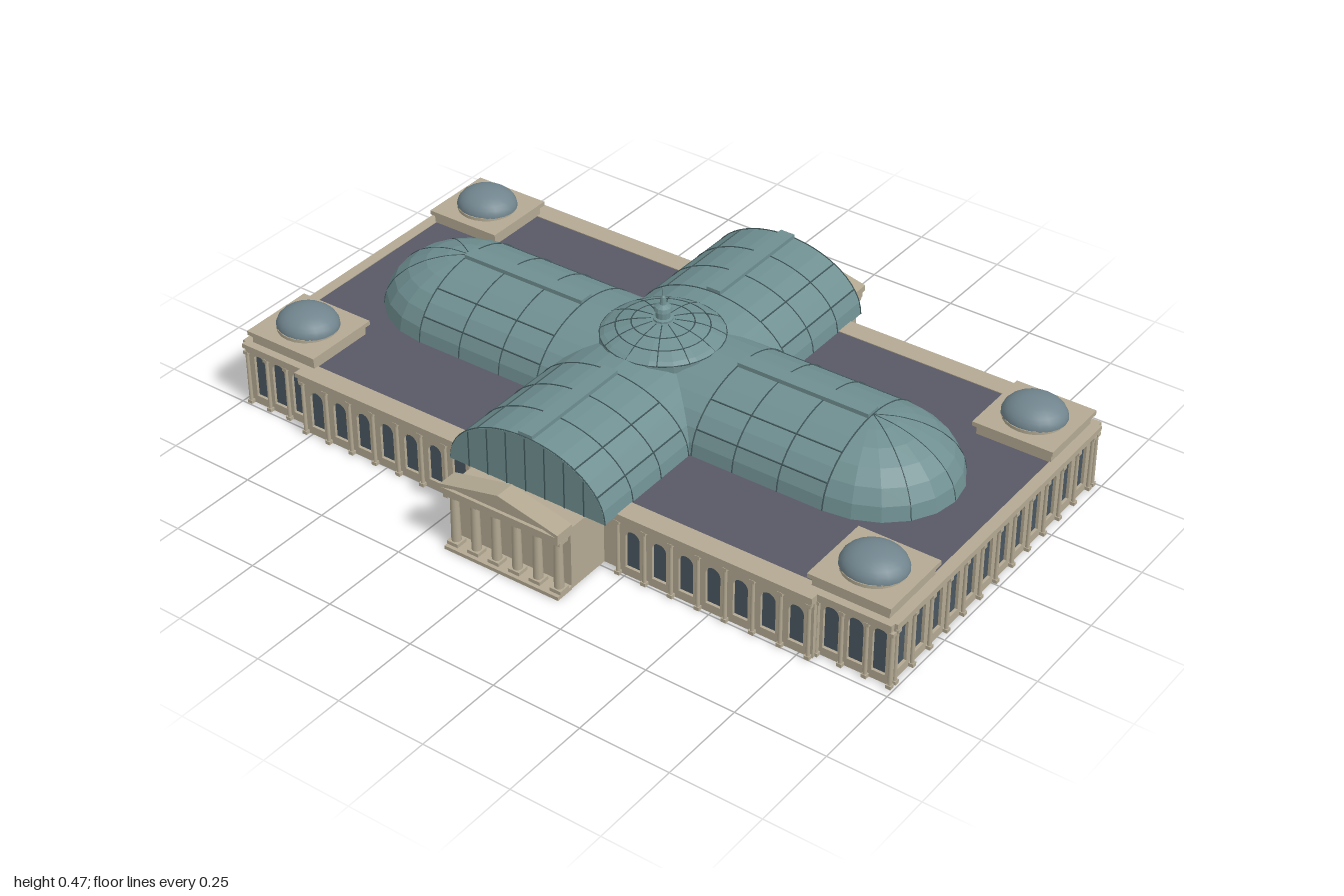
import * as THREE from 'three';

const mat = (color, extra = {}) => new THREE.MeshStandardMaterial({ color, ...extra });
const stone = mat(0xb3a992);
const cellStone = mat(0xb3a992, { side: THREE.DoubleSide });
const slate = mat(0x595866);
const glass = mat(0x4a565f);
const copper = mat(0x6f8f91, { flatShading: true });
const ribMat = mat(0x42585b);
const domeMat = mat(0x71858e);

function add(parent, name, geometry, material, x = 0, y = 0, z = 0) {
  const mesh = new THREE.Mesh(geometry, material);
  mesh.name = name;
  mesh.position.set(x, y, z);
  parent.add(mesh);
  return mesh;
}

// Box given by its ranges
function block(parent, name, material, [x0, x1], [y0, y1], [z0, z1]) {
  return add(parent, name, new THREE.BoxGeometry(x1 - x0, y1 - y0, z1 - z0), material,
    (x0 + x1) / 2, (y0 + y1) / 2, (z0 + z1) / 2);
}

// Thin-walled room, open underneath (the floor face is left out)
function room(parent, name, x, y, z) {
  const geometry = block(parent, name, cellStone, x, y, z).geometry;
  const index = Array.from(geometry.index.array);
  index.splice(18, 6);
  geometry.setIndex(index);
  geometry.clearGroups();
}

function column(parent, x, z, r, y0, y1) {
  add(parent, 'column', new THREE.CylinderGeometry(r * 0.85, r, y1 - y0, 10), stone, x, (y0 + y1) / 2, z);
  block(parent, 'columnBase', stone, [x - r * 1.3, x + r * 1.3], [y0, y0 + 0.01], [z - r * 1.3, z + r * 1.3]);
  block(parent, 'columnCapital', stone, [x - r * 1.3, x + r * 1.3], [y1 - 0.01, y1], [z - r * 1.3, z + r * 1.3]);
}

// Arcade facing +z: pierced wall, glazing, slim columns, cornice with a ledge behind
function arcade(name, length, count, spacing, archTop, ledge) {
  const g = new THREE.Group();
  g.name = name;
  const h = length / 2, w = 0.021;
  const wall = new THREE.Shape();
  wall.moveTo(-h, 0).lineTo(h, 0).lineTo(h, 0.17).lineTo(-h, 0.17).closePath();
  for (let i = 0; i < count; i++) {
    const x = (i - (count - 1) / 2) * spacing;
    const hole = new THREE.Path();
    hole.moveTo(x - w, 0.024).lineTo(x + w, 0.024).lineTo(x + w, archTop - w);
    hole.absarc(x, archTop - w, w, 0, Math.PI, false);
    hole.closePath();
    wall.holes.push(hole);
  }
  add(g, 'arcadeWall', new THREE.ExtrudeGeometry(wall, { depth: 0.012, bevelEnabled: false, curveSegments: 8 }), stone);
  block(g, 'glazing', glass, [-h + 0.01, h - 0.01], [0.02, 0.165], [0.001, 0.004]);
  for (let i = 0; i <= count; i++) column(g, (i - count / 2) * spacing, 0.018, 0.0055, 0, 0.163);
  block(g, 'cornice', stone, [-h, h], [0.162, 0.176], [0, 0.024]);
  block(g, 'upperCornice', stone, [-h - 0.004, h + 0.004], [0.176, 0.189], [-ledge, 0.03]);
  return g;
}

const archPoints = (w, h, n = 14) => Array.from({ length: n + 1 }, (_, i) => {
  const a = Math.PI * i / n;
  return new THREE.Vector2(Math.cos(a) * w, Math.sin(a) * h);
});

const BASE = 0.186, RISE = 0.158;

// Glazed barrel vault along z, with hoops, purlins and ridge strips
function vault(name, width, halfLength, hoops) {
  const g = new THREE.Group();
  g.name = name;
  const profile = archPoints(width, RISE);
  const shell = new THREE.ExtrudeGeometry(new THREE.Shape(profile), { depth: halfLength * 2, bevelEnabled: false });
  add(g, 'vaultShell', shell, copper, 0, 0, -halfLength);
  const path = new THREE.CatmullRomCurve3(profile.map(p => new THREE.Vector3(p.x, p.y, 0)));
  const hoop = new THREE.TubeGeometry(path, 28, 0.002, 4);
  for (const s of [-1, 1]) {
    for (const z of hoops) add(g, 'vaultHoop', hoop, ribMat, 0, 0, s * z);
    const a = hoops[0], b = hoops[hoops.length - 1];
    const range = s > 0 ? [a, b] : [-b, -a];
    for (const i of [2, 4, 10, 12]) {
      block(g, 'purlin', ribMat, [profile[i].x - 0.0015, profile[i].x + 0.0015],
        [profile[i].y - 0.0015, profile[i].y + 0.0015], range);
    }
    block(g, 'ridgeStrip', copper, [-0.021, 0.021], [RISE - 0.008, RISE + 0.01], range);
  }
  g.position.y = BASE;
  return g;
}

// Rounded end of the long vault
function apse(width, depth) {
  const g = new THREE.Group();
  g.name = 'apse';
  const shell = new THREE.SphereGeometry(1, 10, 6, 0, Math.PI, 0, Math.PI / 2);
  shell.scale(width, RISE, depth);
  add(g, 'apseShell', shell, copper);
  for (const i of [3, 5, 7]) {
    const a = Math.PI * i / 10;
    const pts = Array.from({ length: 7 }, (_, k) => {
      const t = Math.PI / 2 * k / 6;
      return new THREE.Vector3(Math.cos(a) * width * Math.sin(t), Math.cos(t) * RISE, Math.sin(a) * depth * Math.sin(t));
    });
    add(g, 'apseRib', new THREE.TubeGeometry(new THREE.CatmullRomCurve3(pts), 12, 0.0013, 4), ribMat);
  }
  return g;
}

// Corner pavilion top with its small dome
function pavilion(parent, x, z) {
  const g = new THREE.Group();
  g.name = 'cornerPavilion';
  block(g, 'attic', stone, [-0.1, 0.1], [0.18, 0.216], [-0.105, 0.105]);
  block(g, 'atticCornice', stone, [-0.11, 0.11], [0.214, 0.226], [-0.113, 0.113]);
  add(g, 'domeRing', new THREE.CylinderGeometry(0.082, 0.082, 0.01, 24), stone, 0, 0.23, 0);
  const cap = new THREE.SphereGeometry(1, 20, 8, 0, Math.PI * 2, 0, Math.PI / 2);
  cap.scale(0.08, 0.051, 0.086);
  add(g, 'smallDome', cap, domeMat, 0, 0.233, 0);
  g.position.set(x, 0, z);
  parent.add(g);
}

// Columned porch facing +x
function portico() {
  const g = new THREE.Group();
  g.name = 'portico';
  room(g, 'porticoRoom', [0.478, 0.615], [0, 0.18], [-0.172, 0.172]);
  block(g, 'porticoStep', stone, [0.616, 0.672], [0, 0.01], [-0.174, 0.174]);
  for (let i = 0; i < 6; i++) column(g, 0.645, (i - 2.5) * 0.063, 0.013, 0.01, 0.165);
  block(g, 'entablature', stone, [0.608, 0.668], [0.163, 0.182], [-0.174, 0.174]);
  block(g, 'porticoCornice', stone, [0.61, 0.673], [0.18, 0.188], [-0.178, 0.178]);
  const shape = pts => new THREE.Shape(pts.map(p => new THREE.Vector2(...p)));
  const gable = shape([[-0.172, 0], [0.172, 0], [0, 0.042]]);
  const raking = shape([[-0.178, 0], [0, 0.04], [0.178, 0], [0.178, 0.01], [0, 0.05], [-0.178, 0.01]]);
  const turned = (s, depth) => new THREE.ExtrudeGeometry(s, { depth, bevelEnabled: false }).rotateY(Math.PI / 2);
  add(g, 'pediment', turned(gable, 0.046), stone, 0.618, 0.187, 0);
  add(g, 'rakingCornice', turned(raking, 0.057), stone, 0.616, 0.187, 0);
  // Mullions of the glazed vault end above the porch
  for (let i = -3; i <= 3; i++) {
    const z = i * 0.058, top = BASE + RISE * Math.sqrt(1 - (z / 0.235) ** 2) - 0.004;
    block(g, 'lunetteMullion', ribMat, [0.563, 0.566], [BASE, top], [z - 0.0015, z + 0.0015]);
  }
  return g;
}

// Shallow central dome with lantern and finial
function centralDome() {
  const g = new THREE.Group();
  g.name = 'centralDome';
  const lathe = (pts, n) => new THREE.LatheGeometry(pts.map(p => new THREE.Vector2(...p)), n);
  add(g, 'domeShell', lathe([[0.162, 0.3], [0.162, 0.342], [0.15, 0.35], [0.12, 0.363], [0.08, 0.374], [0.04, 0.38], [0, 0.382]], 16), copper);
  for (const [r, y] of [[0.16, 0.342], [0.12, 0.363], [0.08, 0.374]]) {
    add(g, 'domeHoop', new THREE.TorusGeometry(r, 0.0018, 4, 32).rotateX(Math.PI / 2), ribMat, 0, y, 0);
  }
  for (let i = 0; i < 12; i++) {
    const a = Math.PI * 2 * i / 12;
    const pts = [[0.16, 0.343], [0.12, 0.364], [0.08, 0.375], [0.03, 0.381]]
      .map(([r, y]) => new THREE.Vector3(Math.cos(a) * r, y, Math.sin(a) * r));
    add(g, 'domeRib', new THREE.TubeGeometry(new THREE.CatmullRomCurve3(pts), 8, 0.0015, 4), ribMat);
  }
  add(g, 'lantern', lathe([[0.026, 0.375], [0.026, 0.386], [0.019, 0.388], [0.019, 0.406], [0.024, 0.408],
    [0.021, 0.418], [0.009, 0.425], [0.006, 0.445], [0.003, 0.45], [0.002, 0.472], [0, 0.472]], 12), copper);
  return g;
}

export function createModel() {
  const model = new THREE.Group();
  const hall = new THREE.Group();
  hall.name = 'exhibitionHall';
  hall.rotation.y = 0.01;
  model.add(hall);

  // Rooms around two open courts
  const storey = [0, 0.1755];
  block(hall, 'roof', slate, [-0.46, 0.46], [0.176, 0.187], [-0.968, 0.968]);
  room(hall, 'centreRoom', [-0.265, 0.265], storey, [-0.21, 0.21]);
  for (const s of [-1, 1]) {
    const range = (a, b) => s > 0 ? [a, b] : [-b, -a];
    room(hall, 'endRoom', [-0.265, 0.265], storey, range(0.75, 0.964));
    room(hall, 'sideWing', range(0.265, 0.484), storey, [-0.785, 0.785]);
    for (const x of [[0.265, 0.462], [-0.462, -0.265]]) room(hall, 'cornerRoom', x, storey, range(0.755, 0.964));

    // Arcades on the ends, pavilion flanks and side wings
    const end = arcade('endArcade', 0.948, 12, 0.0765, 0.152, 0.002);
    end.position.z = s * 0.965;
    end.rotation.y = s > 0 ? 0 : Math.PI;
    hall.add(end);
    for (const t of [-1, 1]) {
      const flank = arcade('pavilionArcade', 0.2, 3, 0.067, 0.152, 0.01);
      flank.position.set(s * 0.462, 0, t * 0.882);
      const wing = arcade('wingArcade', 0.565, 7, 0.078, 0.135, 0.028);
      wing.position.set(s * 0.484, 0, t * 0.5);
      flank.rotation.y = wing.rotation.y = s * Math.PI / 2;
      hall.add(flank, wing);
      pavilion(hall, s * 0.37, t * 0.862);
    }

    const porch = portico();
    porch.rotation.y = s > 0 ? 0 : Math.PI;
    hall.add(porch);

    const round = apse(0.217, 0.24);
    round.position.set(0, BASE, s * 0.62);
    round.rotation.y = s > 0 ? 0 : Math.PI;
    hall.add(round);
  }

  // Crossing vaults
  hall.add(vault('longVault', 0.217, 0.62, [0.24, 0.36, 0.49, 0.62]));
  const cross = vault('crossVault', 0.235, 0.564, [0.22, 0.335, 0.45, 0.562]);
  cross.rotation.y = Math.PI / 2;
  hall.add(cross, centralDome());
  return model;
}
